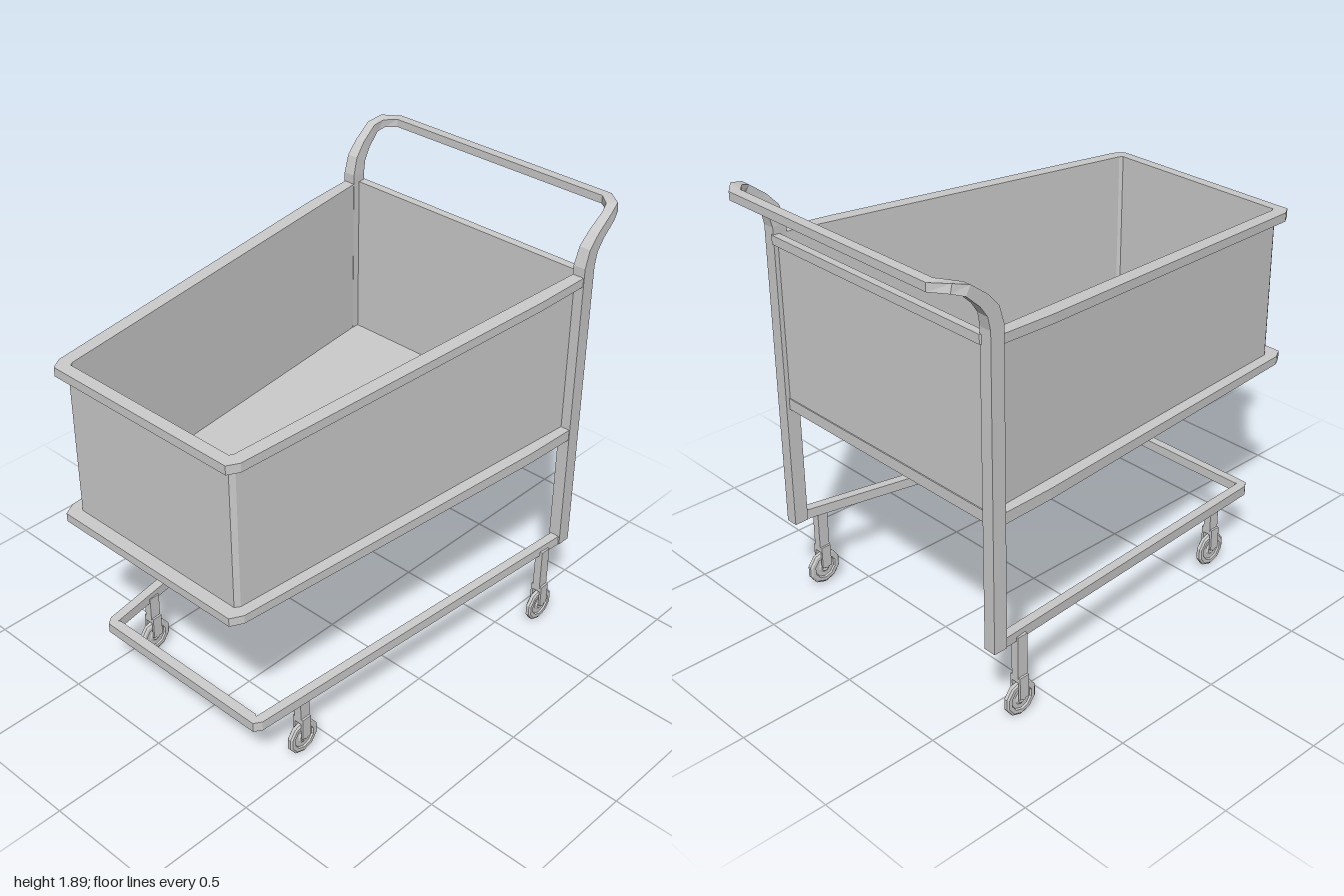
import * as THREE from 'three';

const material = new THREE.MeshStandardMaterial({ color: 0xcccccc, flatShading: true, side: THREE.DoubleSide });

function add(parent, name, geometry, x = 0, y = 0, z = 0) {
  const mesh = new THREE.Mesh(geometry, material);
  mesh.name = name;
  mesh.position.set(x, y, z);
  parent.add(mesh);
  return mesh;
}

// Closed plan outline from its +x half, given as [x, z] from front to back.
function mirrored(half) {
  const left = half.map(([x, z]) => new THREE.Vector2(x, -z));
  const right = half.map(([x, z]) => new THREE.Vector2(-x, -z)).reverse();
  return [...left, ...right];
}

// Plan shape raised between two sloping planes, y = [height at z = 0, slope along z].
function slopedSlab(outer, hole, bottom, top) {
  const shape = new THREE.Shape(outer);
  if (hole) shape.holes.push(new THREE.Path(hole));
  const geometry = new THREE.ExtrudeGeometry(shape, { depth: 1, bevelEnabled: false });
  geometry.rotateX(-Math.PI / 2);
  const p = geometry.attributes.position;
  for (let i = 0; i < p.count; i++) {
    const t = p.getY(i), z = p.getZ(i);
    const low = bottom[0] + bottom[1] * z, high = top[0] + top[1] * z;
    p.setY(i, low + (high - low) * t);
  }
  geometry.computeVertexNormals();
  return geometry;
}

// Rectangular bar along stations [x, y, z, tilt, half width, half depth].
function sweepBar(stations) {
  const points = stations.map(s => new THREE.Vector3(s[0], s[1], s[2]));
  const positions = [], index = [], last = points.length - 1;
  points.forEach((point, i) => {
    const [, , , tilt, w, d] = stations[i];
    const before = point.clone().sub(points[Math.max(i - 1, 0)]).normalize();
    const after = points[Math.min(i + 1, last)].clone().sub(point).normalize();
    const tangent = before.add(after).normalize();
    const depth = new THREE.Vector3(0, Math.sin(tilt), Math.cos(tilt));
    const side = tangent.clone().cross(depth).normalize();
    depth.crossVectors(side, tangent);
    for (const [a, b] of [[1, 1], [-1, 1], [-1, -1], [1, -1]]) {
      const corner = point.clone().addScaledVector(side, a * w).addScaledVector(depth, b * d);
      positions.push(...corner.toArray());
    }
  });
  for (let i = 0; i < last; i++) {
    for (let j = 0; j < 4; j++) {
      const a = i * 4 + j, b = i * 4 + (j + 1) % 4;
      index.push(a, a + 4, b + 4, a, b + 4, b);
    }
  }
  const e = last * 4;
  index.push(0, 1, 2, 0, 2, 3, e, e + 2, e + 1, e, e + 3, e + 2);
  const geometry = new THREE.BufferGeometry();
  geometry.setAttribute('position', new THREE.Float32BufferAttribute(positions, 3));
  geometry.setIndex(index);
  geometry.computeVertexNormals();
  return geometry;
}

// Caster hanging from a given frame height.
function makeCaster(frameY) {
  const caster = new THREE.Group();
  const half = [[0, -0.008], [0.02, -0.012], [0.03, -0.006], [0.048, -0.006], [0.052, -0.013], [0.068, -0.013], [0.077, -0.007]];
  const profile = [...half, ...half.map(([r, y]) => [r, -y]).reverse()].map(p => new THREE.Vector2(...p));
  const wheel = new THREE.LatheGeometry(profile, 10);
  wheel.rotateY(Math.PI / 2);
  wheel.rotateZ(Math.PI / 2);
  add(caster, 'wheel', wheel, 0, 0.077, 0);
  const axle = new THREE.CylinderGeometry(0.01, 0.01, 0.05, 8);
  axle.rotateZ(Math.PI / 2);
  add(caster, 'axle', axle, 0, 0.085, 0);
  for (const s of [-1, 1]) {
    add(caster, 'forkPlate', new THREE.BoxGeometry(0.01, 0.1, 0.045), s * 0.022, 0.135, 0);
  }
  add(caster, 'forkBridge', new THREE.BoxGeometry(0.054, 0.025, 0.045), 0, 0.173, 0);
  add(caster, 'stem', new THREE.BoxGeometry(0.035, frameY - 0.18, 0.048), 0, (frameY + 0.18) / 2, 0);
  return caster;
}

export function createModel() {
  const cart = new THREE.Group();
  cart.name = 'pushCart';

  // Basket: floor, thin walls and rim, all tapering towards the front
  const wallOuter = mirrored([[0.42, 0.945], [0.434, 0.925], [0.59, -0.78]]);
  const wallInner = mirrored([[0.415, 0.935], [0.424, 0.92], [0.58, -0.77]]);
  const floor = mirrored([[0.45, 1.0], [0.478, 0.95], [0.615, -0.5], [0.627, -0.74], [0.59, -0.785]]);
  const rim = mirrored([[0.45, 0.985], [0.478, 0.94], [0.615, -0.5], [0.627, -0.74], [0.58, -0.805]]);
  const rimTop = [1.606, -0.0523], floorTop = [0.928, -0.022];
  add(cart, 'basketFloor', slopedSlab(floor, null, [0.885, -0.015], floorTop));
  add(cart, 'basketWalls', slopedSlab(wallOuter, wallInner, [0.92, -0.022], [1.6, -0.0523]));
  add(cart, 'basketRim', slopedSlab(rim, wallInner, [1.568, -0.0523], rimTop));

  // Lower U-shaped frame, open at the back
  const outer = [[0.42, 0.875], [0.442, 0.845], [0.63, -0.79]];
  const inner = [[0.59, -0.79], [0.402, 0.84], [0.395, 0.833]];
  const frame = mirrored([...outer, ...inner]);
  add(cart, 'lowerFrame', slopedSlab(frame, null, [0.31, -0.064], [0.353, -0.064]));

  // Rear posts continuing into the push handle
  const half = [
    [0.603, 0.36, -0.77, 0, 0.027, 0.031],
    [0.603, 1.68, -0.768, 0.05, 0.027, 0.031],
    [0.605, 1.745, -0.785, 0.4, 0.025, 0.029],
    [0.608, 1.795, -0.825, 0.8, 0.022, 0.025],
    [0.61, 1.85, -0.89, 0.9, 0.02, 0.021],
    [0.593, 1.866, -0.935, 1.35, 0.022, 0.018],
    [0.537, 1.868, -0.976, 1.57, 0.022, 0.017],
  ];
  const otherHalf = half.map(([x, ...rest]) => [-x, ...rest]).reverse();
  add(cart, 'postsAndHandle', sweepBar([...half, ...otherHalf]));

  // Four casters under the lower frame
  for (const [end, x, z, y] of [['front', 0.438, 0.63, 0.29], ['rear', 0.607, -0.655, 0.37]]) {
    for (const s of [-1, 1]) {
      const caster = makeCaster(y);
      caster.name = end + (s > 0 ? 'Left' : 'Right') + 'Caster';
      caster.position.set(s * x, 0, z);
      cart.add(caster);
    }
  }
  return cart;
}
